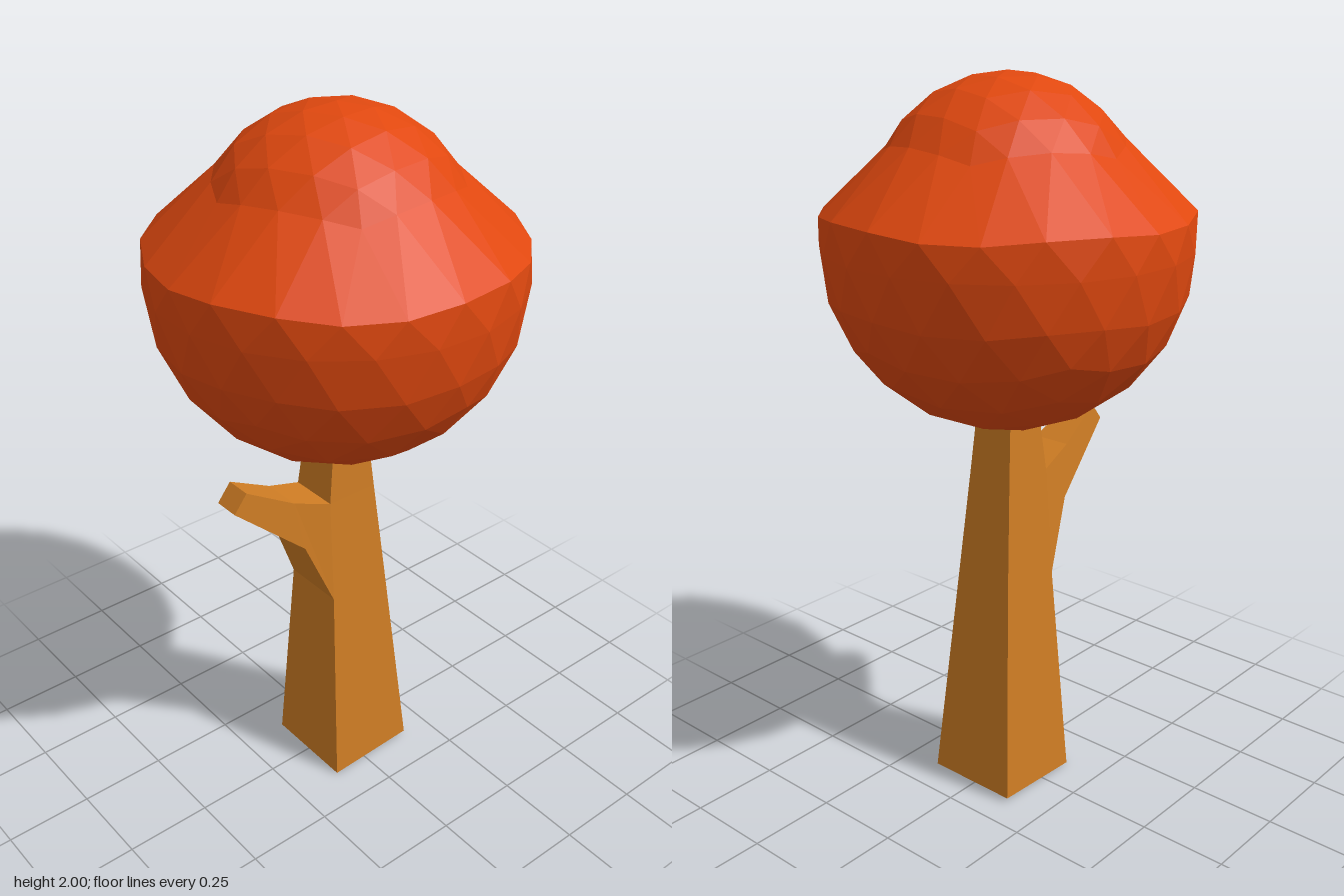
import * as THREE from 'three';

// Joins four-cornered sections; each section is two edges [z, y, halfWidth]
function loft(sections) {
  const rings = sections.map(([a, b]) => [
    [a[2], a[1], a[0]], [b[2], b[1], b[0]], [-b[2], b[1], b[0]], [-a[2], a[1], a[0]],
  ]);
  const pos = [];
  const quad = (a, b, c, d) => pos.push(...a, ...b, ...c, ...a, ...c, ...d);
  for (let s = 0; s < rings.length - 1; s++) {
    for (let i = 0; i < 4; i++) {
      const j = (i + 1) % 4;
      quad(rings[s][i], rings[s][j], rings[s + 1][j], rings[s + 1][i]);
    }
  }
  const first = rings[0], last = rings[rings.length - 1];
  quad(first[3], first[2], first[1], first[0]);
  quad(last[0], last[1], last[2], last[3]);
  const geo = new THREE.BufferGeometry();
  geo.setAttribute('position', new THREE.Float32BufferAttribute(pos, 3));
  geo.computeVertexNormals();
  return geo;
}

// Faceted ball whose upper part shrinks to a smaller dome, leaving a sloped shoulder
function crownGeometry() {
  const geo = new THREE.IcosahedronGeometry(1, 3);
  geo.rotateZ(Math.atan2(2, 1 + Math.sqrt(5)));
  geo.rotateY(0.12);
  const p = geo.attributes.position;
  const v = new THREE.Vector3();
  for (let i = 0; i < p.count; i++) {
    v.fromBufferAttribute(p, i).normalize();
    if (v.y > 0.34) {
      v.multiplyScalar(0.355).setY(v.y + 1.645); // dome
    } else if (v.y > 0.1) {
      const k = 0.487 / Math.hypot(v.x, v.z); // shoulder rim
      v.set(v.x * k, 1.535 + v.y * 0.45, v.z * k);
    } else {
      v.multiplyScalar(0.49).setY(v.y + 1.562); // lower ball
    }
    p.setXYZ(i, v.x, v.y, v.z);
  }
  geo.computeVertexNormals();
  return geo;
}

export function createModel() {
  const tree = new THREE.Group();
  tree.name = 'tree';
  const bark = new THREE.MeshStandardMaterial({ color: 0xcf7d24, flatShading: true });
  const leaves = new THREE.MeshStandardMaterial({ color: 0xe0480f, flatShading: true });
  const add = (name, geo, mat) => {
    const mesh = new THREE.Mesh(geo, mat);
    mesh.name = name;
    tree.add(mesh);
  };

  // Trunk, from ground to inside the crown
  add('trunk', loft([
    [[0.11, 0, 0.137], [-0.16, 0.012, 0.137]],
    [[0.085, 0.62, 0.092], [-0.105, 0.62, 0.092]],
    [[0.08, 0.93, 0.071], [-0.075, 0.93, 0.071]],
    [[0.055, 1.14, 0.058], [-0.055, 1.14, 0.058]],
  ]), bark);

  // Branch stub growing out of the front
  add('branch', loft([
    [[0.085, 0.62, 0.092], [0.08, 0.93, 0.071]],
    [[0.167, 0.82, 0.07], [0.19, 0.97, 0.056]],
    [[0.37, 1.0, 0.037], [0.33, 1.05, 0.037]],
  ]), bark);

  add('crown', crownGeometry(), leaves);
  return tree;
}
